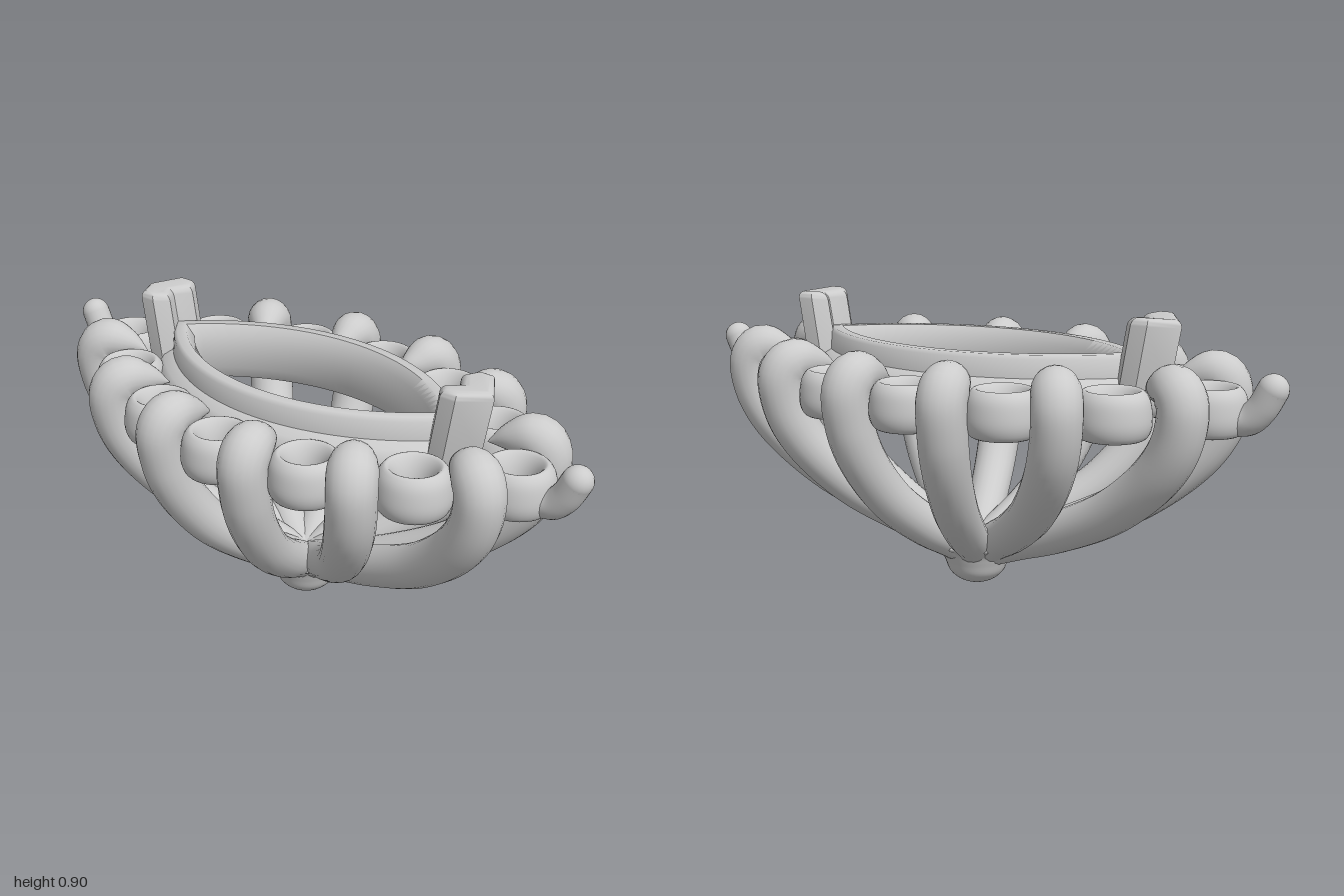
import * as THREE from 'three';
import { mergeVertices, toCreasedNormals } from 'three/addons/utils/BufferGeometryUtils.js';

const material = new THREE.MeshStandardMaterial({ color: 0xcccccc });
const V = (x, y, z) => new THREE.Vector3(x, y, z);

function add(parent, name, geometry) {
  const mesh = new THREE.Mesh(geometry, material);
  mesh.name = name;
  parent.add(mesh);
  return mesh;
}

// Tube whose radius is scaled along its length by scaleAt(t)
function taperedTube(curve, radius, segments, scaleAt) {
  const sides = 20;
  const geo = new THREE.TubeGeometry(curve, segments, radius, sides, false);
  const pos = geo.attributes.position;
  const v = V(0, 0, 0);
  for (let i = 0; i <= segments; i++) {
    const t = i / segments;
    const c = curve.getPointAt(t);
    for (let j = 0; j <= sides; j++) {
      const k = i * (sides + 1) + j;
      v.fromBufferAttribute(pos, k).sub(c).multiplyScalar(scaleAt(t)).add(c);
      pos.setXYZ(k, v.x, v.y, v.z);
    }
  }
  geo.deleteAttribute('normal');
  geo.deleteAttribute('uv');
  const merged = mergeVertices(geo, 1e-5);
  merged.computeVertexNormals();
  return merged;
}

// Rib: rises from the base, bends over the rim and ends in a pointed petal
function ribGeometry({ end, tip, px, pz }, sx, sz) {
  const rise = [[0.22, 0.165], [0.41, 0.22], [0.69, 0.33], [0.9, 0.47], [0.985, 0.58], [1, 0.68]];
  const over = [[0.2, 0.717], [0.6, 0.712], [1, 0.69]];
  const points = [V(0, 0.1, 0)];
  for (const [f, y] of rise) points.push(V(sx * end[0] * f ** px, y, sz * end[1] * f ** pz));
  for (const [f, y] of over) {
    points.push(V(
      sx * THREE.MathUtils.lerp(end[0], tip[0], f), y,
      sz * THREE.MathUtils.lerp(end[1], tip[1], f)));
  }
  const curve = new THREE.CatmullRomCurve3(points);
  const petal = Math.hypot(end[0] - tip[0], end[1] - tip[1]) * 0.95 / curve.getLength();
  return taperedTube(curve, 0.073, 80, t => {
    const u = Math.max(0, (t - 1 + petal) / petal);
    return (0.8 + 0.2 * Math.min(1, t * 1.5)) * Math.max(0.02, 1 - u ** 1.7);
  });
}

// Pointed oval rim with a flange: a cross-section carried round two mirrored arcs
function bezelGeometry() {
  const profile = [ // inset from the outer edge, height
    [0, 0.60], [-0.02, 0.625], [-0.02, 0.67], [0, 0.70], [0.03, 0.715], [0.035, 0.77],
    [0.045, 0.782], [0.075, 0.782], [0.1, 0.75], [0.1, 0.64], [0.08, 0.60],
  ];
  const R = 0.77, offset = 0.47, n = 40, m = profile.length;
  const positions = [], index = [];
  for (const side of [1, -1]) {
    for (let i = 0; i < n; i++) {
      for (const [inset, y] of profile) {
        const r = R - inset;
        const a = Math.acos(offset / r) * (2 * i / n - 1);
        positions.push(side * (r * Math.cos(a) - offset), y, side * r * Math.sin(a));
      }
    }
  }
  for (let i = 0; i < 2 * n; i++) {
    const k = (i + 1) % (2 * n);
    for (let j = 0; j < m; j++) {
      const l = (j + 1) % m;
      const a = i * m + j, b = i * m + l, c = k * m + j, d = k * m + l;
      index.push(a, b, c, b, d, c);
    }
  }
  const geo = new THREE.BufferGeometry();
  geo.setAttribute('position', new THREE.Float32BufferAttribute(positions, 3));
  geo.setIndex(index);
  return toCreasedNormals(geo, 0.9);
}

// Smooth lathe from a few profile points
function smoothLathe(profile, closed) {
  const curve = new THREE.CatmullRomCurve3(profile.map(([x, y]) => V(x, y, 0)), closed);
  const points = curve.getPoints(36).map(p => new THREE.Vector2(Math.max(0, p.x), p.y));
  return new THREE.LatheGeometry(points, 36);
}

// V-shaped claw that wraps a point of the rim and leans outward
function prongGeometry() {
  const shape = new THREE.Shape([
    [0, 0.58], [0.05, 0.547], [0.071, 0.562], [0.071, 0.588], [0, 0.636],
    [-0.071, 0.588], [-0.071, 0.562], [-0.05, 0.547],
  ].map(([x, y]) => new THREE.Vector2(x, y)));
  const geo = new THREE.ExtrudeGeometry(shape, {
    depth: 0.2, bevelEnabled: true, bevelSize: 0.024, bevelThickness: 0.025, bevelSegments: 6,
  });
  geo.rotateX(-Math.PI / 2);
  geo.translate(0, 0.675, 0);
  const pos = geo.attributes.position;
  for (let i = 0; i < pos.count; i++) {
    const y = pos.getY(i);
    pos.setZ(i, pos.getZ(i) - (y - 0.8) * 0.17);
    // Shallow dip along the middle of the top
    if (y > 0.8) pos.setY(i, y - 0.012 * (1 - Math.abs(pos.getX(i)) / 0.095));
  }
  return toCreasedNormals(geo, 0.7);
}

export function createModel() {
  const model = new THREE.Group();
  model.name = 'basketSetting';

  // Rounded foot that flares into the ribs
  add(model, 'base', smoothLathe([
    [0, 0], [0.05, 0.012], [0.085, 0.04], [0.102, 0.08], [0.118, 0.115], [0.15, 0.14],
    [0.1, 0.165], [0, 0.17],
  ], false));
  add(model, 'bezel', bezelGeometry());

  // Twelve ribs: three per quarter
  const ribs = [
    { end: [0.163, 0.757], tip: [0.085, 0.61], px: 1.4, pz: 1 },
    { end: [0.36, 0.475], tip: [0.215, 0.375], px: 1.3, pz: 1 },
    { end: [0.455, 0.163], tip: [0.285, 0.13], px: 1, pz: 0.9 },
  ];
  for (const rib of ribs) {
    for (const sx of [1, -1]) {
      for (const sz of [1, -1]) add(model, 'rib', ribGeometry(rib, sx, sz));
    }
  }

  // Twelve rings between the ribs, rounded outside and countersunk on top
  const ring = smoothLathe([
    [0.065, 0.57], [0.095, 0.575], [0.11, 0.605], [0.11, 0.65], [0.1, 0.69],
    [0.08, 0.71], [0.062, 0.69], [0.048, 0.645], [0.048, 0.59],
  ], true);
  for (const [x, z] of [[0, 0.77], [0.2, 0.565], [0.335, 0.29], [0.385, 0]]) {
    for (const sx of x ? [1, -1] : [1]) {
      for (const sz of z ? [1, -1] : [1]) {
        add(model, 'ring', ring).position.set(sx * x, 0, sz * z);
      }
    }
  }

  // Claw and hook at both points
  const hookPath = new THREE.CatmullRomCurve3([
    V(0, 0.615, -0.845), V(0, 0.625, -0.89), V(0, 0.66, -0.925), V(0, 0.715, -0.955),
  ]);
  const prong = prongGeometry();
  const hook = new THREE.TubeGeometry(hookPath, 24, 0.045, 20);
  const hookTip = new THREE.SphereGeometry(0.045, 20, 16);
  for (const turn of [0, Math.PI]) {
    const end = new THREE.Group();
    end.name = turn ? 'frontEnd' : 'backEnd';
    end.rotation.y = turn;
    add(end, 'prong', prong);
    add(end, 'hook', hook);
    add(end, 'hookTip', hookTip).position.set(0, 0.715, -0.955);
    model.add(end);
  }
  return model;
}
